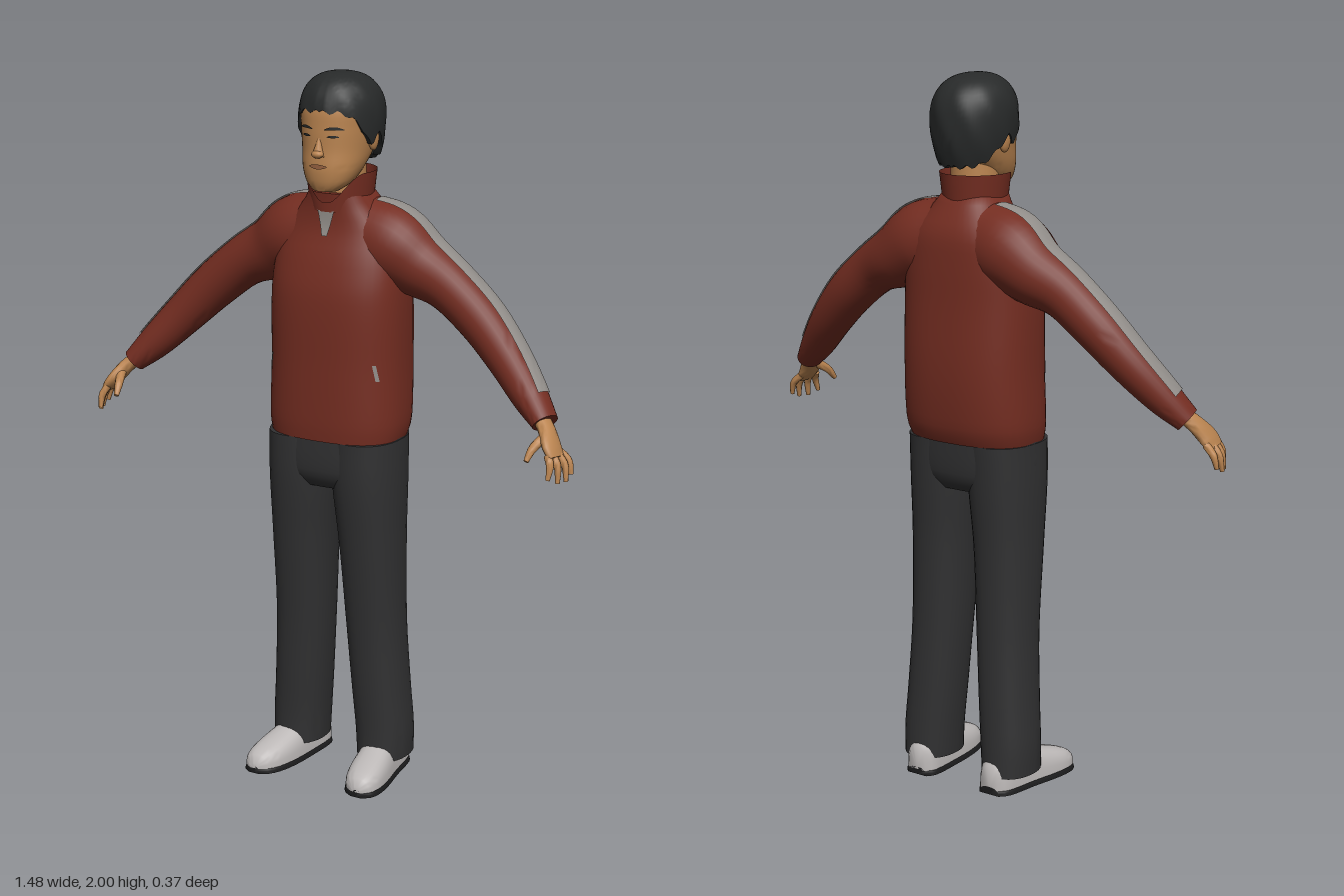
import * as THREE from 'three';
import { mergeVertices, toCreasedNormals } from 'three/addons/utils/BufferGeometryUtils.js';

const mat = (name, color, side = THREE.FrontSide) => {
  const m = new THREE.MeshStandardMaterial({ color, side });
  m.name = name;
  return m;
};
const TAU = Math.PI * 2;

// Smooth interpolation of keyed rows [key, a, b, ...]
function sample(rows, k) {
  const n = rows.length;
  let i = 0;
  while (i < n - 2 && k > rows[i + 1][0]) i++;
  const A = rows[i], B = rows[i + 1], d = B[0] - A[0], t = (k - A[0]) / d;
  const slope = (j, c) => {
    const p = rows[Math.max(j - 1, 0)], q = rows[Math.min(j + 1, n - 1)];
    return (q[c] - p[c]) / (q[0] - p[0]) * d;
  };
  const t2 = t * t, t3 = t2 * t;
  return A.map((_, c) => (2 * t3 - 3 * t2 + 1) * A[c] + (t3 - 2 * t2 + t) * slope(i, c)
    + (3 * t2 - 2 * t3) * B[c] + (t3 - t2) * slope(i + 1, c));
}

// Grid surface from f(u, v) -> [x, y, z]; mirrored in x when s is -1
function sheet(f, nu, nv, s = 1) {
  const pos = [], idx = [];
  for (let j = 0; j <= nv; j++) for (let i = 0; i <= nu; i++) {
    const p = f(i / nu, j / nv);
    pos.push(p[0] * s, p[1], p[2]);
  }
  for (let j = 0; j < nv; j++) for (let i = 0; i < nu; i++) {
    const a = j * (nu + 1) + i, b = a + 1, c = a + nu + 1, d = c + 1;
    if (s > 0) idx.push(a, b, d, a, d, c); else idx.push(a, d, b, a, c, d);
  }
  const g = new THREE.BufferGeometry();
  g.setAttribute('position', new THREE.Float32BufferAttribute(pos, 3));
  g.setIndex(idx);
  return toCreasedNormals(mergeVertices(g, 1e-5), 1.1);
}

const pw = (c, e) => Math.sign(c) * Math.abs(c) ** (2 / e);
// First and last grid rows collapse into end caps
const capped = (v, n) => {
  const j = Math.round(v * n);
  return [THREE.MathUtils.clamp((j - 1) / (n - 2), 0, 1), j === 0 || j === n ? 0 : 1];
};

// Upright body: rows of [y, centreX, halfX, centreZ, halfZ]
const upright = (rows, e, n = 30) => (u, v) => {
  const [t, k] = capped(v, n), y0 = rows[0][0], y1 = rows[rows.length - 1][0];
  const [y, cx, hx, cz, hz] = sample(rows, y0 + (y1 - y0) * t);
  return [cx + k * hx * pw(Math.sin(u * TAU), e), y, cz + k * hz * pw(Math.cos(u * TAU), e)];
};
// Patch lying on the front of an upright body
const onFront = (rows, e, xy, lift = 0.004) => (u, v) => {
  const [x, y] = xy(u, v), [, cx, hx, cz, hz] = sample(rows, y);
  const q = Math.min(Math.abs((x - cx) / hx), 1);
  return [x, y, cz + hz * (1 - q ** e) ** (1 / e) + lift];
};

// Limb along a path: rows of [x, y, z, thickness, width]
function limbPoint(rows, t, a, grow = 0, k = 1) {
  const keyed = rows.map((r, i) => [i / (rows.length - 1), ...r]);
  const [, x, y, z, rn, rw] = sample(keyed, t);
  const p = sample(keyed, Math.max(t - 0.02, 0)), q = sample(keyed, Math.min(t + 0.02, 1));
  const T = new THREE.Vector3(q[1] - p[1], q[2] - p[2], q[3] - p[3]).normalize();
  const N = new THREE.Vector3(-T.y, T.x, 0).normalize(), B = T.clone().cross(N);
  return new THREE.Vector3(x, y, z).addScaledVector(N, Math.cos(a) * (rn + grow) * k)
    .addScaledVector(B, Math.sin(a) * (rw + grow) * k).toArray();
}
const limb = (rows, n) => (u, v) => {
  const [t, k] = capped(v, n);
  return limbPoint(rows, t, u * TAU, 0, k);
};

const TORSO = [[1.0, 0, 0.192, -0.015, 0.135], [1.04, 0, 0.2, -0.022, 0.145], [1.2, 0, 0.198, -0.03, 0.15],
  [1.4, 0, 0.198, -0.03, 0.143], [1.5, 0, 0.19, -0.04, 0.13], [1.58, 0, 0.165, -0.05, 0.112],
  [1.64, 0, 0.11, -0.038, 0.095], [1.68, 0, 0.082, -0.025, 0.085]];
const PELVIS = [[0.86, 0, 0.14, -0.012, 0.1], [0.9, 0, 0.19, -0.012, 0.122], [1.03, 0, 0.192, -0.015, 0.128]];
const LEG = [[0.05, 0.137, 0.074, -0.04, 0.09], [0.13, 0.135, 0.078, -0.04, 0.088], [0.25, 0.126, 0.079, -0.035, 0.088],
  [0.45, 0.114, 0.081, -0.026, 0.09], [0.7, 0.107, 0.088, -0.014, 0.104], [0.88, 0.1, 0.097, -0.01, 0.12],
  [1.0, 0.098, 0.097, -0.012, 0.126]];
const HEAD = [[1.69, 0, 0.035, 0.058, 0.034], [1.71, 0, 0.06, 0.04, 0.06], [1.75, 0, 0.08, 0.017, 0.087],
  [1.8, 0, 0.091, -0.01, 0.11], [1.86, 0, 0.098, -0.02, 0.119], [1.92, 0, 0.1, -0.025, 0.116], [1.97, 0, 0.068, -0.03, 0.085]];
const ARM = [[0.07, 1.55, -0.05, 0.113, 0.1], [0.15, 1.53, -0.055, 0.113, 0.108], [0.23, 1.485, -0.06, 0.092, 0.092],
  [0.32, 1.44, -0.053, 0.073, 0.075], [0.42, 1.36, -0.046, 0.067, 0.07], [0.51, 1.27, -0.025, 0.059, 0.062],
  [0.59, 1.185, 0.008, 0.049, 0.052], [0.65, 1.125, 0.036, 0.034, 0.042]];
const PALM = [[0.635, 1.14, 0.035, 0.02, 0.028], [0.665, 1.11, 0.055, 0.02, 0.03], [0.69, 1.075, 0.078, 0.018, 0.04],
  [0.708, 1.05, 0.085, 0.012, 0.036]];
const FINGERS = [
  [[0.7, 1.06, 0.052], [0.726, 1.035, 0.047], [0.735, 1.0, 0.05]],
  [[0.703, 1.06, 0.073], [0.727, 1.03, 0.074], [0.734, 0.988, 0.08]],
  [[0.7, 1.06, 0.093], [0.718, 1.03, 0.1], [0.722, 0.988, 0.107]],
  [[0.694, 1.06, 0.11], [0.706, 1.035, 0.122], [0.705, 1.0, 0.133]],
  [[0.668, 1.1, 0.075], [0.652, 1.075, 0.115], [0.645, 1.045, 0.14]]];
// Shoe sections: [z, centreX, halfWidth, height]
const SHOE = [[-0.135, 0.128, 0.03, 0.07], [-0.11, 0.13, 0.048, 0.09], [0, 0.14, 0.055, 0.09], [0.08, 0.151, 0.058, 0.07],
  [0.14, 0.16, 0.052, 0.052], [0.175, 0.165, 0.036, 0.036], [0.19, 0.167, 0.014, 0.015]];
const shoe = (grow, base, height) => (u, v) => {
  const [t, k] = capped(v, 24), a = u * TAU;
  const [z, cx, hw, h] = sample(SHOE, -0.135 + 0.325 * t);
  return [cx + k * (hw + grow) * pw(Math.cos(a), 2.6), base + k * Math.max(pw(Math.sin(a), 2.6), 0) * (height || h), z];
};

// Hairline height by angle from the front (0) to the back (pi)
const HAIRLINE = [[0, 1.905], [0.6, 1.9], [0.95, 1.87], [1.3, 1.815], [1.55, 1.84], [1.9, 1.8], [2.3, 1.765], [3.15, 1.755]];
function hair(u, v) {
  const a = u * TAU, d = Math.min(a, TAU - a);
  const edge = sample(HAIRLINE, d)[1] + 0.006 * Math.sin(d * 17);
  const under = v < 0.05, y = under ? edge : edge + (2.0 - edge) * Math.sin((v - 0.05) / 0.95 * Math.PI / 2);
  const h = (y - 1.87) / (y > 1.87 ? 0.13 : 0.12);
  let r = y > 1.87 ? Math.max(1 - h ** 2.5, 0) ** 0.4 : 1 - 0.2 * h * h;
  if (under) r *= 0.8;
  const tuft = 1 + 0.012 * Math.sin(a * 9 + y * 40) * Math.min(1, r * r);
  return [0.116 * r * tuft * Math.sin(a), y, -0.028 + 0.128 * r * tuft * Math.cos(a) + 0.015 * Math.max(0, h) * (1 - r)];
}

// Standing collar dipping to a notch at the front
function collar(u, v) {
  const a = u * TAU, d = Math.min(a, TAU - a), rise = THREE.MathUtils.smoothstep(d, 0.05, 1.2);
  const top = 1.655 + 0.08 * rise;
  const flare = 0.012 * v * rise;
  return [(0.084 + flare) * Math.sin(a), 1.63 + (top - 1.63) * v, -0.025 + (0.09 + flare) * Math.cos(a)];
}

export function createModel() {
  const M = {
    jacket: mat('jacket red', 0x742d21), collar: mat('collar red', 0x742d21, THREE.DoubleSide),
    stripe: mat('stripe grey', 0x918d89, THREE.DoubleSide), trousers: mat('trouser charcoal', 0x313132),
    skin: mat('skin', 0xba8450), lips: mat('lip brown', 0x94603f, THREE.DoubleSide),
    hair: mat('hair black', 0x282a2a, THREE.DoubleSide), shoe: mat('shoe white', 0xbdb9b8), sole: mat('sole black', 0x1b1b1c),
  };
  const root = new THREE.Group();
  root.name = 'standingMan';
  const add = (name, geo, m, parent = root) => {
    const mesh = new THREE.Mesh(geo, m);
    mesh.name = name;
    parent.add(mesh);
    return mesh;
  };
  const pair = (name, f, nu, nv, m) => [1, -1].forEach(s => add((s > 0 ? 'left' : 'right') + name, sheet(f, nu, nv, s), m));

  // Jacket
  add('jacketBody', sheet(upright(TORSO, 2.5), 48, 30), M.jacket);
  add('collar', sheet(collar, 48, 5), M.collar);
  pair('Sleeve', limb(ARM, 34), 28, 34, M.jacket);
  pair('SleeveStripe', (u, v) => {
    const t = 0.02 + v * 0.87, w = sample(ARM.map((r, i) => [i / (ARM.length - 1), r[4]]), t)[1];
    return limbPoint(ARM, t, (u - 0.5) * 2 * 0.026 / w, 0.004);
  }, 6, 40, M.stripe);
  add('neckZip', sheet(onFront(TORSO, 2.5, (u, v) => [(u - 0.5) * (0.016 + 0.034 * v), 1.565 + 0.068 * v], 0.006), 4, 6), M.stripe);
  pair('PocketZip', onFront(TORSO, 2.5, (u, v) => [0.163 + 0.008 * u - 0.008 * v, 1.18 + 0.045 * v]), 2, 3, M.stripe);

  // Trousers
  add('trouserSeat', sheet(upright(PELVIS, 2.4, 12), 40, 12), M.trousers);
  pair('TrouserLeg', upright(LEG, 2.3), 30, 30, M.trousers);

  // Shoes
  pair('Shoe', shoe(0, 0.015), 28, 24, M.shoe);
  pair('Sole', shoe(0.003, 0, 0.022), 28, 24, M.sole);

  // Hands
  pair('Palm', limb(PALM, 12), 16, 12, M.skin);
  FINGERS.forEach((f, i) => {
    const radii = i === 4 ? [0.014, 0.012, 0.007] : [0.011, 0.01, 0.006];
    pair(i === 4 ? 'Thumb' : 'Finger' + (i + 1), limb(f.map((p, j) => [...p, radii[j], radii[j]]), 9), 10, 9, M.skin);
  });

  // Head and neck
  const neck = add('neck', new THREE.CylinderGeometry(0.066, 0.07, 0.16, 28), M.skin);
  neck.position.set(0, 1.7, -0.025);
  add('head', sheet(upright(HEAD, 2.2), 40, 30), M.skin);
  add('hair', sheet(hair, 72, 20), M.hair);
  const nose = add('nose', new THREE.ConeGeometry(0.018, 0.06, 12), M.skin);
  nose.scale.z = 0.8;
  nose.position.set(0, 1.816, 0.1);
  nose.rotation.x = -0.16;
  const noseTip = add('noseTip', new THREE.SphereGeometry(0.014, 14, 10), M.skin);
  noseTip.scale.set(1.25, 0.8, 1);
  noseTip.position.set(0, 1.793, 0.107);
  [1, -1].forEach(s => {
    const ear = add(s > 0 ? 'leftEar' : 'rightEar', new THREE.SphereGeometry(0.03, 14, 12), M.skin);
    ear.scale.set(0.4, 1.1, 0.7);
    ear.position.set(s * 0.098, 1.825, -0.025);
  });

  // Painted face details
  const face = (cx, cy, w, h, bow) => onFront(HEAD, 2.2, (u, v) => {
    const q = u * 2 - 1;
    return [cx + w * q, cy + bow * (1 - q * q) + (v - 0.5) * h * (1 - 0.8 * q * q)];
  });
  pair('Eyebrow', face(0.042, 1.859, 0.024, 0.008, 0.004), 10, 2, M.hair);
  pair('Eye', face(0.04, 1.84, 0.015, 0.007, 0.001), 10, 2, M.hair);
  add('mouth', sheet(face(0, 1.76, 0.026, 0.013, -0.001), 10, 2), M.lips);
  return root;
}
